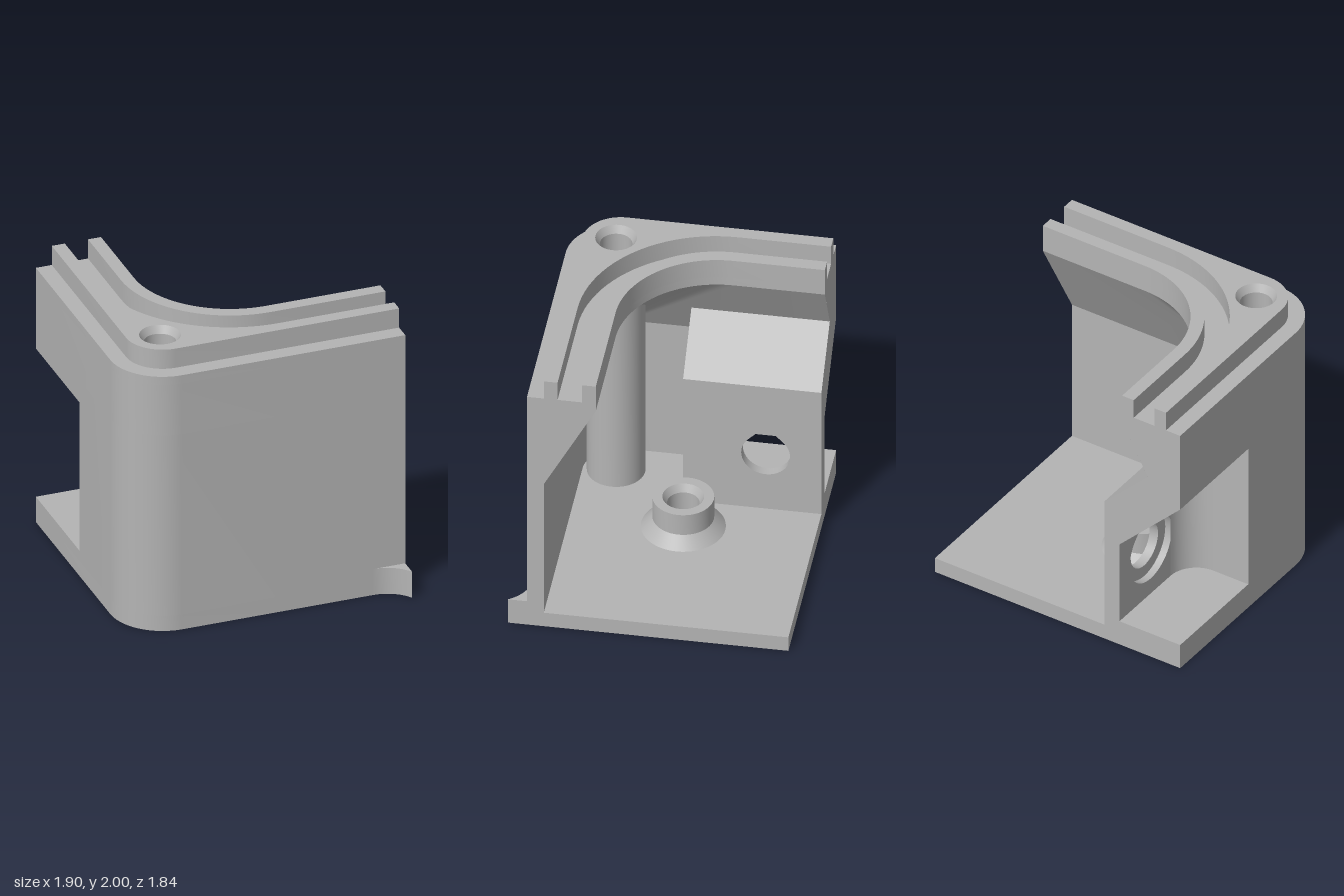
import * as THREE from 'three';
import { toCreasedNormals } from 'three/addons/utils/BufferGeometryUtils.js';

const L = -0.95, R = 0.95, F = 0.79, B = -0.92; // left, right, front, back limits
const ARC = 24;

export function createModel() {
  const model = new THREE.Group();
  const grey = new THREE.MeshStandardMaterial({ color: 0xb4b4b4, side: THREE.DoubleSide });

  const add = (name, geo) => {
    const mesh = new THREE.Mesh(toCreasedNormals(geo, 0.5), grey);
    mesh.name = name;
    model.add(mesh);
    return mesh;
  };
  const shapeOf = (pts) => new THREE.Shape(pts.map((p) => new THREE.Vector2(p[0], p[1])));

  // Plan line (x, z) inset by d, running from the back round the corner to the right
  const path = (d, r, z0 = B) => {
    const pts = [[L + d, z0]];
    for (let i = 0; i <= ARC; i++) {
      const a = (i / ARC) * Math.PI / 2;
      pts.push([L + d + r - r * Math.cos(a), F - d - r + r * Math.sin(a)]);
    }
    pts.push([R, F - d]);
    return pts;
  };

  // Plan outline raised from y0 to y1
  const slab = (name, pts, y0, y1, hole) => {
    const s = shapeOf(pts);
    if (hole) s.holes.push(new THREE.Path().absarc(hole[0], hole[1], hole[2], 0, Math.PI * 2));
    const g = new THREE.ExtrudeGeometry(s, { depth: y1 - y0, bevelEnabled: false, curveSegments: 24 });
    add(name, g.rotateX(Math.PI / 2).translate(0, y1, 0));
  };
  const band = (outer, inner) => [...outer, ...inner.reverse()];

  // Ruled surface between two plan lines at different heights
  const strip = (name, a, ya, b, yb) => {
    const pos = [], idx = [];
    a.forEach((p, i) => {
      pos.push(p[0], ya, p[1], b[i][0], yb, b[i][1]);
      if (i) { const k = 2 * i; idx.push(k - 2, k, k - 1, k, k + 1, k - 1); }
    });
    const g = new THREE.BufferGeometry();
    g.setAttribute('position', new THREE.Float32BufferAttribute(pos, 3));
    g.setIndex(idx);
    g.computeVertexNormals();
    add(name, g);
  };

  // Floor plate and small flared foot
  slab('floorPlate', [...path(0, 0.36), [R, B]], 0, 0.11);
  const foot = [[R, F - 0.02], [0.73, F - 0.02]];
  for (let i = 0; i <= 12; i++) {
    const a = (i / 12) * Math.asin(0.22 / 0.256);
    foot.push([0.73 + 0.256 * Math.sin(a), F + 0.256 * (1 - Math.cos(a))]);
  }
  slab('flaredFoot', foot, 0, 0.19);

  // Outer wall, leaving the side pocket open
  const zBox = -0.015, zPocket = -0.125;
  strip('outerWallLower', path(0, 0.36, zBox), 0.11, path(0, 0.36, zBox), 1.43);
  strip('outerWallUpper', path(0, 0.36), 1.43, path(0, 0.36), 1.8);

  // Inner wall and sloping overhang
  strip('innerWall', path(0.11, 0.25, zBox), 1.16, path(0.11, 0.25, zBox), 0.11);
  strip('overhang', path(0.45, 0.66), 1.8, path(0.11, 0.25), 1.16);

  // Cut ends of the two walls
  const endRight = shapeOf([[-F, 0.11], [-0.68, 0.11], [-0.68, 1.16], [-0.34, 1.8], [-F, 1.8]]);
  add('rightEnd', new THREE.ShapeGeometry(endRight).rotateY(Math.PI / 2).translate(R, 0, 0));
  const endBack = shapeOf([[0.95, 1.43], [0.95, 1.8], [0.5, 1.8], [0.697, 1.43]]);
  add('backEnd', new THREE.ShapeGeometry(endBack).rotateY(Math.PI).translate(0, 0, B));

  // Rim: ledge, outer band and inner lip with a groove between them
  const hx = -0.62, hz = 0.465;
  slab('rimLedge', band(path(0, 0.36), path(0.45, 0.66)), 1.8, 1.86, [hx, hz, 0.135]);
  slab('rimBand', band(path(0.11, 0.25), path(0.2, 0.9)), 1.86, 2, [hx, hz, 0.135]);
  slab('rimLip', band(path(0.36, 0.75), path(0.45, 0.66)), 1.86, 2);

  // Turned parts: corner column, its screw hole, and the floor boss
  const lathe = (name, pts, x, y, z) => add(name,
    new THREE.LatheGeometry(pts.map((p) => new THREE.Vector2(p[0], p[1])), 48)).position.set(x, y, z);
  lathe('cornerColumn', [[0.19, 0.11], [0.19, 1.57]], hx, 0, hz);
  lathe('cornerHole', [[0.135, 2], [0.105, 1.95], [0.105, 1.6], [0, 1.6]], hx, 0, hz);
  lathe('floorBoss', [[0.275, 0.11], [0.2, 0.19], [0.2, 0.35], [0.135, 0.35], [0.105, 0.3],
    [0.105, 0.13], [0, 0.13]], -0.1, 0, -0.06);

  // Housing around the side pocket
  const prism = (name, pts, z0, z1) => add(name,
    new THREE.ExtrudeGeometry(shapeOf(pts), { depth: z1 - z0, bevelEnabled: false }).translate(0, 0, z0));
  const xi = -0.365, xo = -0.48;
  prism('pocketRoof', [[L, 1.27], [xo, 0.8], [xi, 0.8], [xi, 1.1], [-0.697, 1.43], [L, 1.43]], B, zPocket);
  prism('pocketEnd', [[L, 0.11], [xi, 0.11], [xi, 1.1], [-0.697, 1.43], [L, 1.43]], zPocket, zBox);
  prism('pocketFloor', [[L, 0.11], [xi, 0.11], [xi, 0.185], [L, 0.185]], B, zPocket);

  // Rounded inside corner of the pocket
  const fr = 0.2, fillet = [[xo, zPocket]];
  for (let i = 0; i <= 10; i++) {
    const a = (i / 10) * Math.PI / 2;
    fillet.push([xo - fr + fr * Math.cos(a), zPocket - fr + fr * Math.sin(a)]);
  }
  slab('pocketFillet', fillet, 0.185, 1.0);

  // Pocket side wall with a flat-topped round hole and a wider recess outside
  const sideWall = (name, r, x0, x1) => {
    const s = shapeOf([[-zPocket, 0.185], [-B, 0.185], [-B, 0.8], [-zPocket, 0.8]]);
    const cu = 0.555, cy = 0.55, t = r * (Math.SQRT2 - 1), hole = [];
    for (let i = 0; i <= 36; i++) {
      const a = Math.PI * (0.75 + 1.5 * i / 36);
      hole.push(new THREE.Vector2(cu + r * Math.cos(a), cy + r * Math.sin(a)));
    }
    hole.push(new THREE.Vector2(cu + t, cy + r), new THREE.Vector2(cu - t, cy + r));
    s.holes.push(new THREE.Path(hole));
    const g = new THREE.ExtrudeGeometry(s, { depth: x1 - x0, bevelEnabled: false });
    add(name, g.rotateY(Math.PI / 2).translate(x0, 0, 0));
  };
  sideWall('pocketWallOuter', 0.245, xo, -0.43);
  sideWall('pocketWallInner', 0.16, -0.43, xi);

  return model;
}
